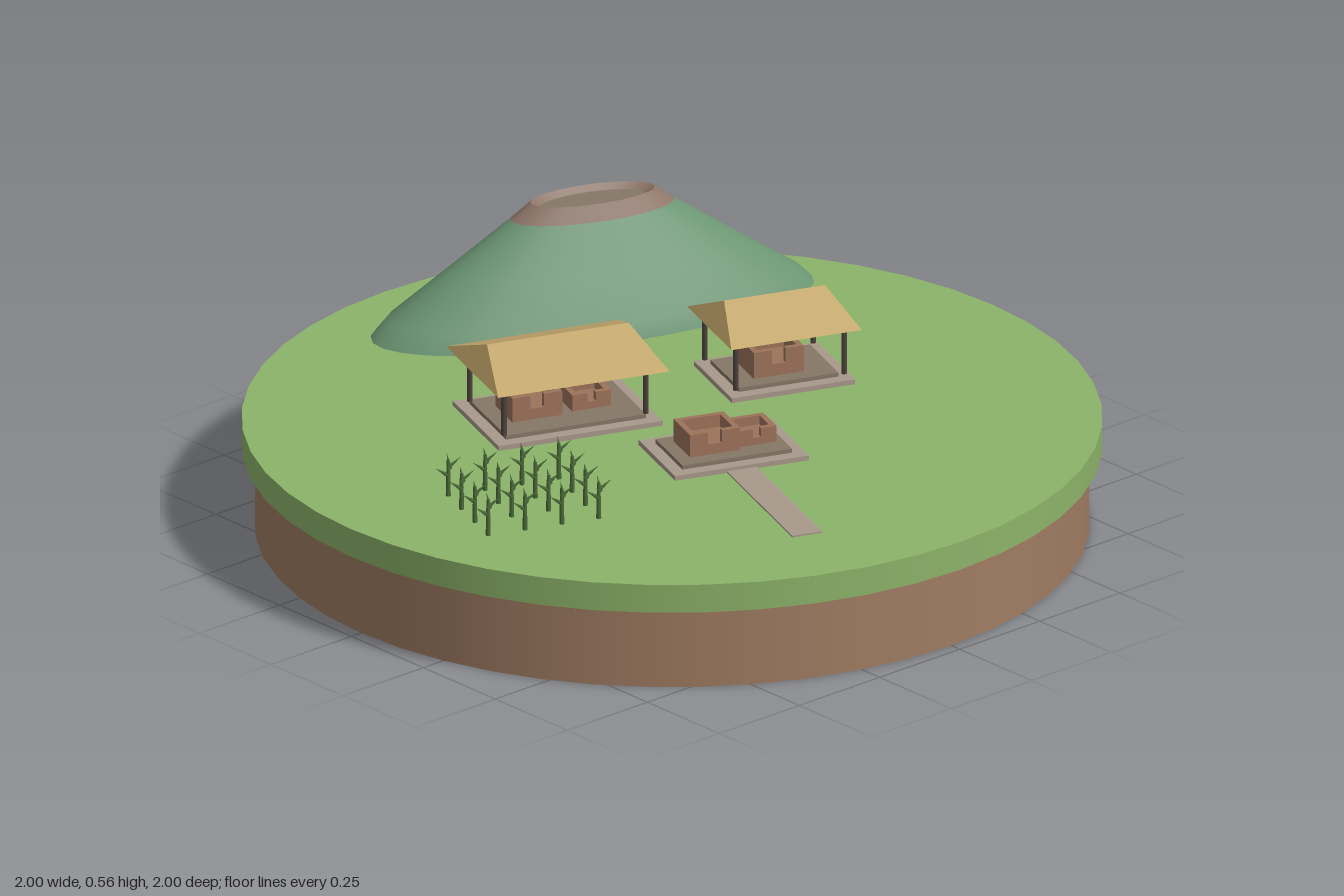
import * as THREE from 'three';
import { ConvexGeometry } from 'three/addons/geometries/ConvexGeometry.js';

const paint = (name, color) => {
  const m = new THREE.MeshStandardMaterial({ color });
  m.name = name;
  return m;
};

export function createModel() {
  const model = new THREE.Group();
  model.name = 'villageIsland';

  const grass = paint('grass green', 0x8cb369);
  const earth = paint('earth brown', 0xa07c62);
  const hillGreen = paint('hill green', 0x6b9573);
  const rock = paint('crater rock', 0x8d7568);
  const stone = paint('pale stone', 0xa8988a);
  const floor = paint('floor stone', 0x857767);
  const thatch = paint('thatch', 0xc4a86c);
  const wood = paint('dark wood', 0x4e433d);
  const clay = paint('clay wall', 0x9c7359);
  const plant = paint('plant green', 0x4b6b38);

  const GROUND = 0.27;
  const TURN = -0.355; // the whole village shares this heading

  const add = (parent, name, geometry, material, x = 0, y = 0, z = 0) => {
    const mesh = new THREE.Mesh(geometry, material);
    mesh.name = name;
    mesh.position.set(x, y, z);
    parent.add(mesh);
    return mesh;
  };
  // Box standing on height y
  const block = (parent, name, material, w, h, d, x, y, z) =>
    add(parent, name, new THREE.BoxGeometry(w, h, d), material, x, y + h / 2, z);
  const site = (name, x, z) => {
    const g = new THREE.Group();
    g.name = name;
    g.position.set(x, GROUND, z);
    g.rotation.y = TURN;
    model.add(g);
    return g;
  };

  // Island disc
  add(model, 'earthBase', new THREE.CylinderGeometry(0.97, 0.97, 0.2, 48), earth, 0, 0.1, 0);
  add(model, 'grassTop', new THREE.CylinderGeometry(1, 1, 0.07, 48), grass, 0, 0.235, 0);

  // Crater hill: an elliptical lathe in three bands
  const hill = site('craterHill', 0.29, -0.6);
  hill.scale.set(0.548, 1, 0.21);
  const band = (name, material, profile) =>
    add(hill, name, new THREE.LatheGeometry(profile.map(p => new THREE.Vector2(...p)), 32), material);
  band('hillSlope', hillGreen, [[1, 0], [0.93, 0.04], [0.66, 0.142], [0.37, 0.253]]);
  band('craterRim', rock, [[0.37, 0.253], [0.28, 0.29]]);
  band('craterLip', rock, [[0.28, 0.29], [0.235, 0.275]]);
  band('craterFloor', floor, [[0.235, 0.275], [0, 0.275]]);

  // Two-step stone platform; returns the height of its top
  const platform = (g, w, d) => {
    block(g, 'platformStep', stone, w, 0.012, d, 0, 0, 0);
    block(g, 'platformFloor', floor, w - 0.06, 0.01, d - 0.06, 0, 0.012, 0);
    return 0.022;
  };

  // Open-topped clay room with a doorway in front
  const room = (g, name, w, h, d, x, z) => {
    const r = new THREE.Group();
    r.name = name;
    r.position.set(x, 0.022, z);
    g.add(r);
    const t = 0.014;
    block(r, 'roomFloor', clay, w, h * 0.45, d, 0, 0, 0);
    block(r, 'backWall', clay, w, h, t, 0, 0, (t - d) / 2);
    for (const s of [-1, 1]) {
      block(r, 'sideWall', clay, t, h, d - t, s * (w - t) / 2, 0, t / 2);
      block(r, 'frontWall', clay, w * 0.25, h, t, s * (w * 0.375 - t), 0, (d - t) / 2);
    }
  };

  // Hipped thatch roof
  const roof = (g, w, d, inset) => {
    const points = [];
    for (const s of [-1, 1]) {
      for (const t of [-1, 1]) points.push(new THREE.Vector3(s * w / 2, 0.143, t * d / 2));
      points.push(new THREE.Vector3(s * (w / 2 - inset), 0.207, 0));
    }
    add(g, 'thatchRoof', new ConvexGeometry(points), thatch);
  };

  // Hut: platform, four posts and roof
  const hut = (name, x, z, w, d, postX, postZ) => {
    const g = site(name, x, z);
    const top = platform(g, w - 0.018, d - 0.04);
    for (const sx of [-1, 1]) for (const sz of [-1, 1])
      add(g, 'post', new THREE.CylinderGeometry(0.007, 0.007, 0.13, 8), wood,
        sx * postX, top + 0.065, sz * postZ);
    roof(g, w, d, 0.037);
    return g;
  };

  const bigHut = hut('bigHut', -0.192, -0.183, 0.428, 0.33, 0.177, 0.108);
  room(bigHut, 'mainRoom', 0.125, 0.06, 0.105, -0.07, -0.005);
  room(bigHut, 'sideRoom', 0.097, 0.04, 0.085, 0.07, -0.005);

  const smallHut = hut('smallHut', 0.344, -0.027, 0.326, 0.28, 0.135, 0.098);
  room(smallHut, 'mainRoom', 0.125, 0.065, 0.105, -0.01, 0);

  // Roofless courtyard with its path
  const court = site('courtyard', -0.052, 0.238);
  platform(court, 0.334, 0.23);
  room(court, 'mainRoom', 0.125, 0.056, 0.105, -0.04, -0.006);
  room(court, 'sideRoom', 0.097, 0.04, 0.085, 0.07, -0.01);
  block(court, 'path', stone, 0.075, 0.004, 0.415, 0, 0, 0.32);

  // Crop field: four rows of stalks with paired leaves
  const field = site('cropField', -0.614, 0.168);
  const stalk = new THREE.CylinderGeometry(0.004, 0.006, 0.09, 6);
  const leaf = new THREE.ConeGeometry(0.006, 0.042, 4);
  for (let row = 0; row < 4; row++) for (let col = 0; col < 4; col++) {
    const x = (col - 1.5) * 0.092, z = (row - 1.5) * 0.084;
    add(field, 'stalk', stalk, plant, x, 0.045, z);
    for (const s of [-1, 1]) {
      add(field, 'leaf', leaf, plant, x + s * 0.015, 0.072 + s * 0.01, z).rotation.z = -s * 0.95;
    }
    add(field, 'tip', leaf, plant, x, 0.088, z).rotation.z = 0.2;
  }

  return model;
}
